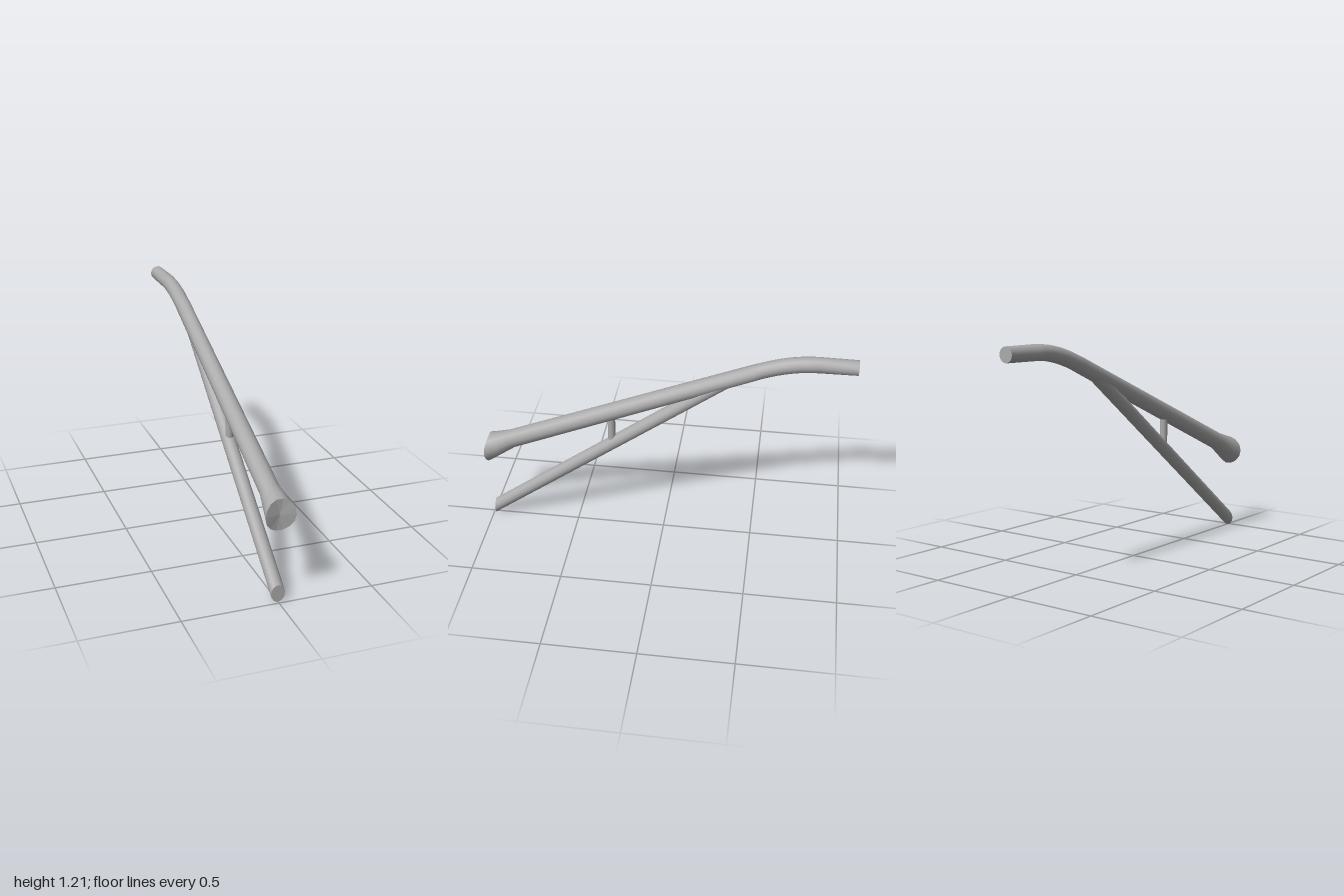
import * as THREE from 'three';
import { mergeVertices } from 'three/addons/utils/BufferGeometryUtils.js';

const SIDES = 14;

// Ring cross-section: centre (z, y), half sizes rx and ry, lean angle, and forward bow of its sides
const ring = (z, y, rx, ry = rx, tilt = 0, bow = 0) => ({ z, y, rx, ry, tilt, bow });

function ringPoints(r) {
  return Array.from({ length: SIDES }, (_, j) => {
    const t = (j / SIDES) * Math.PI * 2;
    const c = Math.cos(t), s = Math.sin(t) * r.ry;
    return new THREE.Vector3(
      r.rx * c,
      r.y + s * Math.cos(r.tilt),
      r.z + s * Math.sin(r.tilt) + r.bow * c * c
    );
  });
}

// Smooth skin through rings ordered from front to back
function loft(rings) {
  const pos = [], index = [];
  rings.forEach(r => ringPoints(r).forEach(p => pos.push(p.x, p.y, p.z)));
  for (let i = 0; i < rings.length - 1; i++) {
    for (let j = 0; j < SIDES; j++) {
      const k = (j + 1) % SIDES;
      const a = i * SIDES + j, b = i * SIDES + k, c = a + SIDES, d = b + SIDES;
      index.push(a, c, b, b, c, d);
    }
  }
  const g = new THREE.BufferGeometry();
  g.setAttribute('position', new THREE.Float32BufferAttribute(pos, 3));
  g.setIndex(index);
  const merged = mergeVertices(g);
  merged.computeVertexNormals();
  return merged;
}

// End face, separate from the skin so that its edge stays sharp
function cap(r, front) {
  const pts = ringPoints(r), pos = [];
  const centre = new THREE.Vector3(0, r.y, r.z);
  pts.forEach((p, j) => {
    const q = pts[(j + 1) % SIDES];
    (front ? [centre, p, q] : [centre, q, p]).forEach(v => pos.push(v.x, v.y, v.z));
  });
  const g = new THREE.BufferGeometry();
  g.setAttribute('position', new THREE.Float32BufferAttribute(pos, 3));
  g.computeVertexNormals();
  return g;
}

function tube(name, rings, material) {
  const group = new THREE.Group();
  group.name = name;
  const add = (part, geometry) => {
    const mesh = new THREE.Mesh(geometry, material);
    mesh.name = name + part;
    group.add(mesh);
  };
  add('Skin', loft(rings));
  add('FrontCap', cap(rings[0], true));
  add('BackCap', cap(rings[rings.length - 1], false));
  return group;
}

export function createModel() {
  const model = new THREE.Group();
  model.name = 'bracketArm';
  const steel = new THREE.MeshStandardMaterial({ color: 0xaaaaaa });
  steel.name = 'grey steel';

  // Main arm: flared foot, tapering straight run, then a bend to level
  const slope = Math.atan(0.417);
  const armRings = [
    ring(0.982, 0.475, 0.08, 0.084, 0, 0.018),
    ring(0.93, 0.503, 0.067, 0.068, slope * 0.5, 0.006),
    ring(0.85, 0.544, 0.052, 0.051, slope),
    ring(-0.47, 1.094, 0.043, 0.043, slope),
  ];
  const bend = new THREE.CubicBezierCurve(
    new THREE.Vector2(-0.47, 1.094), new THREE.Vector2(-0.57, 1.136),
    new THREE.Vector2(-0.68, 1.17), new THREE.Vector2(-0.8, 1.17)
  );
  for (let i = 1; i <= 8; i++) {
    const p = bend.getPoint(i / 8), d = bend.getTangent(i / 8);
    armRings.push(ring(p.x, p.y, 0.0425, 0.0415, Math.atan2(d.y, -d.x)));
  }
  armRings.push(ring(-1, 1.17, 0.04));
  model.add(tube('mainArm', armRings, steel));

  // Diagonal brace, cut upright at the foot and sunk into the arm at the top
  model.add(tube('brace', [
    ring(0.985, 0.048, 0.037, 0.046),
    ring(-0.35, 1.043, 0.037, 0.046),
  ], steel));

  // Short upright strut between brace and arm
  const strut = new THREE.Mesh(new THREE.CylinderGeometry(0.021, 0.021, 0.2, SIDES), steel);
  strut.name = 'strut';
  strut.position.set(0, 0.67, 0.285);
  model.add(strut);

  return model;
}
